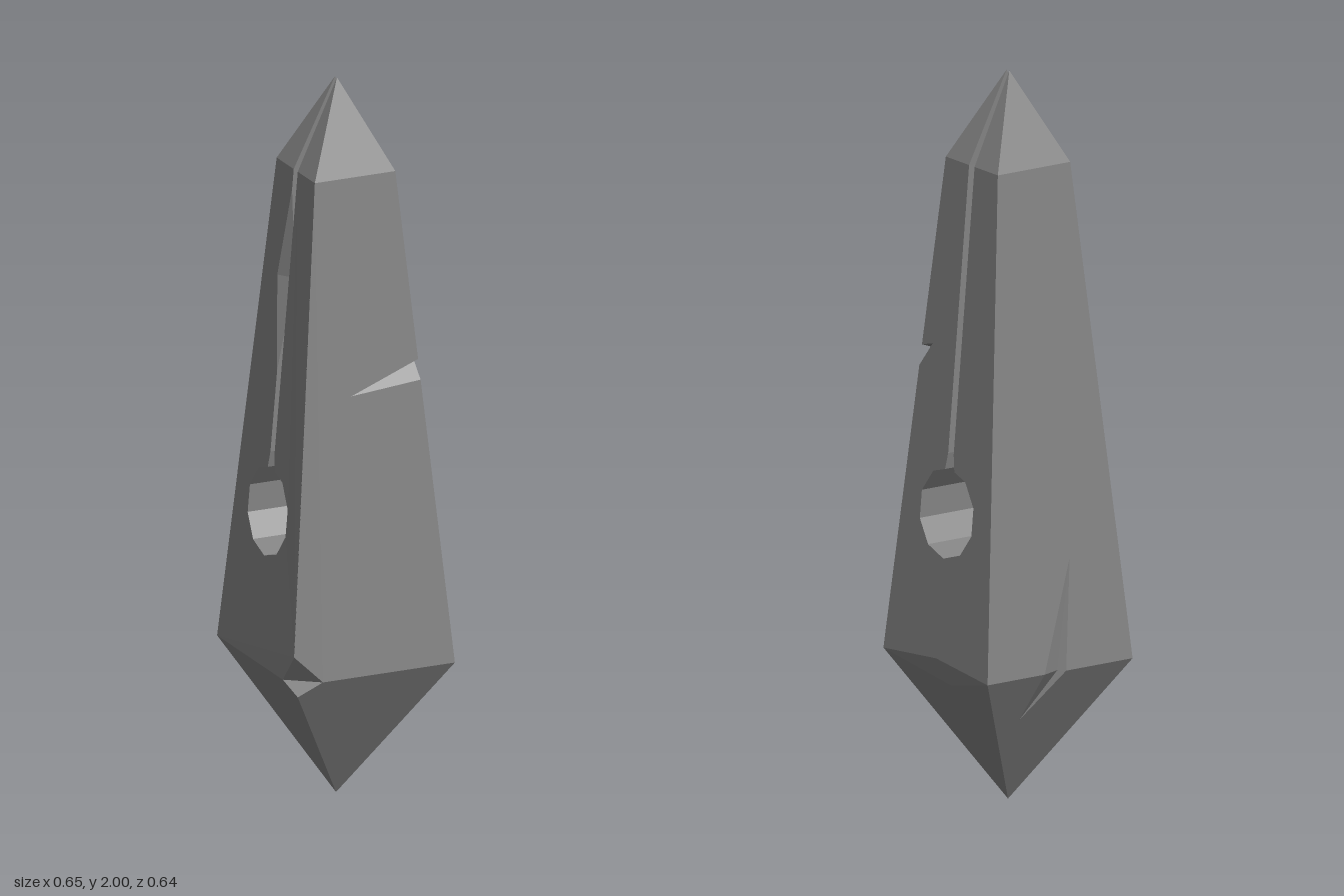
import * as THREE from 'three';

const BASE = 0.2365, BASE_Y = 0.4, TOP = 0.118, TOP_Y = 1.755, TIP_Y = 2;
const lerp = THREE.MathUtils.lerp;

// half width of the square section at height y
function half(y) {
  if (y < BASE_Y) return BASE * y / BASE_Y;
  if (y < TOP_Y) return lerp(BASE, TOP, (y - BASE_Y) / (TOP_Y - BASE_Y));
  return TOP * (TIP_Y - y) / (TIP_Y - TOP_Y);
}

// point on side k (0 front, then turning towards the left), a across, y up
function on(k, a, y, inset = 0) {
  return new THREE.Vector3(a, y, half(y) - inset).applyAxisAngle(new THREE.Vector3(0, 1, 0), k * Math.PI / 2);
}

function meshOf(name, points) {
  const geometry = new THREE.BufferGeometry().setFromPoints(points);
  geometry.computeVertexNormals();
  const mesh = new THREE.Mesh(geometry, new THREE.MeshStandardMaterial({ color: 0x838383, flatShading: true }));
  mesh.name = name;
  return mesh;
}

export function createModel() {
  const group = new THREE.Group();
  group.name = 'obelisk';

  // slot and round hole outline, from the top right of the slot to the top left
  const holeY = 0.815, holeR = 0.123, slotW = 0.0125, flareW = 0.021, tipW = 0.006;
  const ring = [];
  for (let i = 0; i < 9; i++) {
    const t = THREE.MathUtils.degToRad(54 - 36 * i);
    ring.push([holeR * Math.cos(t), holeY + holeR * Math.sin(t)]);
  }
  const keyStart = [[slotW, TOP_Y], [slotW, 0.975], [flareW, 0.93], ...ring, [-flareW, 0.93], [-slotW, 0.975]];
  const keyEnd = [-slotW, TOP_Y];
  const gougeLow = [-slotW, 1.2], gougeOut = [-0.058, 1.45], gougeHigh = [-slotW, 1.7];
  const gougeIn = [-slotW, 1.45, 0.03];

  // corner and edge points shared by faces and chips
  const L = [-BASE, BASE_Y], R = [BASE, BASE_Y], TL = [-TOP, TOP_Y], TR = [TOP, TOP_Y];
  const tipR = [tipW, TIP_Y], tipL = [-tipW, TIP_Y], tipSide = [0, TIP_Y, -tipW], foot = [0, 0];
  const right = y => [half(y), y], left = y => [-half(y), y];
  const chipA = [0.17, BASE_Y], chipB = [-0.15, BASE_Y];
  const chipTopA = [0.233, 0.48, -0.003], chipTopB = [-0.233, 0.48, -0.003];
  const nickA = [-0.035, 1.163], nickB = [-0.116, 1.25];
  const bevelHigh = [0, 0.422], bevelLow = [0.03, 0.35];
  const slashL = [-0.05, BASE_Y], slashR = [0.02, BASE_Y], slashHigh = [0.05, 0.7], slashLow = [-0.075, 0.26];
  const slashIn = [0.004, BASE_Y, 0.018];

  // flat faces of each side: shaft, lower point, upper point
  const splitTop = [[keyStart[0], TR, tipR], [TL, keyEnd, tipL]];
  const sides = [
    [[L, chipA, chipTopA, TR, ...keyStart, gougeLow, gougeOut, gougeHigh, keyEnd, TL],
      [foot, right(0.36), chipA, L], ...splitTop],
    [[chipB, R, right(1.18), nickA, right(1.237), TR, TL, chipTopB],
      [foot, R, chipB, left(0.36)], [TL, TR, tipSide]],
    [[L, bevelHigh, R, TR, ...keyStart, keyEnd, TL, left(1.237), nickB, left(1.18)],
      [foot, R, bevelLow, L], ...splitTop],
    [[L, slashL, slashHigh, slashR, R, TR, TL],
      [foot, R, slashR, slashLow, slashL, L], [TL, TR, tipSide]],
  ];
  const faces = [];
  sides.forEach((polygons, k) => polygons.forEach(polygon => {
    const flat = polygon.map(([a, y]) => new THREE.Vector2(a, y));
    for (const tri of THREE.ShapeUtils.triangulateShape(flat, []))
      for (const i of tri) faces.push(on(k, ...polygon[i]));
  }));
  group.add(meshOf('crystalFaces', faces));

  // walls of the slot and hole, running from front to back
  const path = [tipR, ...keyStart, gougeLow, gougeIn, gougeHigh, keyEnd, tipL];
  const walls = [];
  for (let i = 0; i + 1 < path.length; i++) {
    const p = path[i], q = path[i + 1];
    const fp = on(0, ...p), fq = on(0, ...q), bp = on(2, -p[0], p[1]), bq = on(2, -q[0], q[1]);
    walls.push(fp, bp, bq, fp, bq, fq);
  }
  group.add(meshOf('slotAndHole', walls));

  // gouge beside the slot
  group.add(meshOf('slotGouge', [
    gougeLow, gougeIn, gougeOut, gougeOut, gougeIn, gougeHigh,
  ].map(p => on(0, ...p))));

  // chip on the front base corner
  const a = on(0, ...chipA), b = on(1, ...chipB);
  group.add(meshOf('cornerChip', [a, b, on(0, ...chipTopA), a, on(0, ...right(0.36)), b]));

  // notch across the rear left edge
  const n1 = on(1, ...nickA), n2 = on(2, ...nickB);
  group.add(meshOf('edgeNotch', [n1, n2, on(1, ...right(1.237)), n1, on(1, ...right(1.18)), n2]));

  // bevelled rear base edge
  group.add(meshOf('baseBevel', [
    L, bevelLow, bevelHigh, bevelLow, R, bevelHigh,
  ].map(p => on(2, ...p))));

  // slash across the base edge of the right side
  group.add(meshOf('sideSlash', [
    slashL, slashIn, slashHigh, slashIn, slashR, slashHigh,
    slashLow, slashIn, slashL, slashLow, slashR, slashIn,
  ].map(p => on(3, ...p))));

  group.rotation.y = -Math.PI / 6;
  return group;
}
